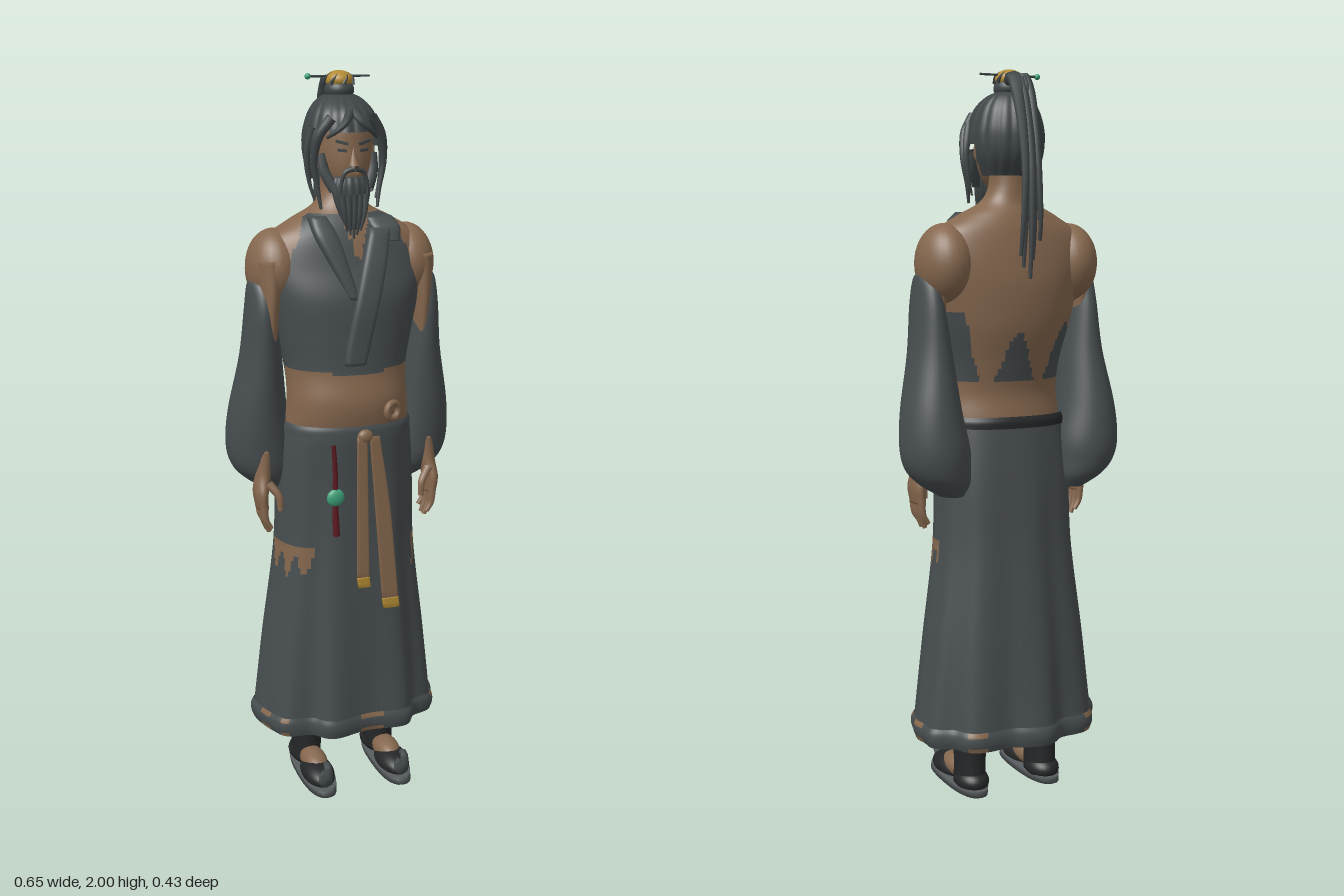
import * as THREE from 'three';

const mat = (name, color, side = THREE.FrontSide) => {
  const m = new THREE.MeshStandardMaterial({ color, side });
  m.name = name;
  return m;
};

export function createModel() {
  const root = new THREE.Group();
  const cloth = mat('grey cloth', 0x474d4f, THREE.DoubleSide);
  const hair = mat('dark hair', 0x3f4547, THREE.DoubleSide);
  const skin = mat('skin', 0x85674e);
  const sash = mat('brown sash', 0x83664c);
  const black = mat('black fabric', 0x242627);
  const gold = mat('gold', 0xb48c34);
  const jade = mat('jade green', 0x3fa27a);
  const red = mat('dark red cord', 0x5c1a20);
  const soleGrey = mat('sole grey', 0x565b5d);

  const add = (name, geo, material, pos = [0, 0, 0], scale = [1, 1, 1], rot = [0, 0, 0]) => {
    const m = new THREE.Mesh(geo, material);
    m.name = name;
    m.position.set(...pos);
    m.scale.set(...scale);
    m.rotation.set(...rot);
    root.add(m);
    return m;
  };
  const ball = (name, material, pos, scale) => add(name, new THREE.SphereGeometry(1, 28, 20), material, pos, scale);

  // Smooth body through cross-sections [y, centreX, halfWidth, frontZ, backZ], top row first.
  // pick(x, y, z, angle) chooses a material index per face; -1 leaves a hole.
  const loft = (name, rows, mats, o = {}) => {
    const { seg = 28, steps = 24, p = 1, ripple = () => 1, pick = () => 0, open = false } = o;
    const curve = (f) => new THREE.CatmullRomCurve3(rows.map(f), false, 'catmullrom', 0.5);
    const A = curve((r) => new THREE.Vector3(r[0], r[1], r[2]));
    const B = curve((r) => new THREE.Vector3(r[3], r[4], 0));
    const list = Array.isArray(mats) ? mats : [mats];
    const pos = [], faces = list.map(() => []);
    const pw = (v) => Math.sign(v) * Math.abs(v) ** p;
    for (let i = 0; i <= steps; i++) {
      const t = i / steps, a = A.getPoint(t), b = B.getPoint(t);
      for (let j = 0; j < seg; j++) {
        const q = (j / seg) * Math.PI * 2, k = ripple(q, t);
        pos.push(a.y + a.z * pw(Math.sin(q)) * k, a.x, (b.x + b.y) / 2 + ((b.x - b.y) / 2) * pw(Math.cos(q)) * k);
      }
    }
    for (let i = 0; i < steps; i++) for (let j = 0; j < seg; j++) {
      const n = (j + 1) % seg, a = i * seg + j, b = i * seg + n, c = a + seg, d = b + seg;
      const mid = (k) => (pos[a * 3 + k] + pos[d * 3 + k]) / 2;
      const m = pick(mid(0), mid(1), mid(2), ((j + 0.5) / seg) * Math.PI * 2);
      if (m >= 0) faces[m].push(a, c, d, a, d, b);
    }
    if (!open) for (const end of [0, 1]) {
      const r = rows[end ? rows.length - 1 : 0], base = end * steps * seg, centre = pos.length / 3;
      pos.push(r[1], r[0], (r[3] + r[4]) / 2);
      for (let j = 0; j < seg; j++) {
        const n = base + ((j + 1) % seg);
        faces[0].push(centre, ...(end ? [n, base + j] : [base + j, n]));
      }
    }
    const g = new THREE.BufferGeometry();
    g.setAttribute('position', new THREE.Float32BufferAttribute(pos, 3));
    g.setIndex(faces.flat());
    let start = 0;
    faces.forEach((f, m) => { g.addGroup(start, f.length, m); start += f.length; });
    g.computeVertexNormals();
    return add(name, g, list);
  };

  // Tapered tube through points
  const strand = (name, pts, r0, r1, material) => {
    const n = 20, path = new THREE.CatmullRomCurve3(pts.map((v) => new THREE.Vector3(...v)));
    const g = new THREE.TubeGeometry(path, n, r0, 8), P = g.attributes.position, v = new THREE.Vector3();
    for (let i = 0; i < P.count; i++) {
      const t = Math.floor(i / 9) / n, c = path.getPointAt(t);
      v.fromBufferAttribute(P, i).sub(c).multiplyScalar(1 + (r1 / r0 - 1) * t).add(c);
      P.setXYZ(i, v.x, v.y, v.z);
    }
    return add(name, g, material);
  };

  // Torso: bare back and belly, robe across the chest with ragged ends behind
  loft('torso', [[1.75, 0, .05, .01, -.098], [1.69, 0, .054, .012, -.1], [1.65, 0, .08, .025, -.105],
    [1.615, 0, .145, .05, -.12], [1.57, 0, .21, .07, -.135], [1.5, 0, .232, .092, -.148], [1.42, 0, .215, .12, -.155],
    [1.32, 0, .192, .125, -.147], [1.22, 0, .17, .128, -.122], [1.14, 0, .168, .142, -.106], [1.07, 0, .175, .133, -.113],
    [1.0, 0, .175, .11, -.12]], [skin, cloth], { seg: 120, steps: 100, p: .95, pick: (x, y, z) => {
    if (z > -.01) {
      const neckline = y > 1.5 && Math.abs(x - .015) < (y - 1.5) * .3;
      const shoulderEdge = Math.abs(x) > .18 + (1.5 - y) * .5;
      return y > 1.215 + Math.abs(x) * .1 && y < 1.635 && !neckline && !shoulderEdge ? 1 : 0;
    }
    const ragged = 1.235 + .075 * Math.sin(x * 42 + 1) + 1.5 * Math.max(0, Math.abs(x) - .13);
    return y > 1.17 && y < Math.min(ragged, 1.36) ? 1 : 0;
  } });
  add('bellyKnot', new THREE.TorusGeometry(.022, .009, 10, 24), skin, [.095, 1.11, .128], [1, 1, 1], [0, .45, 0]);

  // Lapel and collar folds
  loft('lapel', [[1.6, .075, .03, .085, .03], [1.5, .048, .034, .118, .07], [1.4, .022, .034, .137, .09],
    [1.3, 0, .033, .138, .09], [1.245, -.01, .03, .138, .09]], cloth, { p: .5 });
  loft('leftCollar', [[1.625, .085, .038, .05, -.01], [1.6, .095, .042, .075, .01], [1.565, .1, .032, .088, .04]], cloth, { p: .6 });
  loft('rightCollar', [[1.63, -.085, .025, .048, -.01], [1.58, -.07, .032, .082, .03], [1.5, -.04, .024, .108, .06],
    [1.42, -.01, .015, .126, .08]], cloth, { p: .7 });

  // Skirt with folds deepest at front and back, bare patches and a worn hem
  const folds = (q, t) => 1 + t ** 1.4 * (.07 * Math.abs(Math.cos(q)) * (Math.cos(q * 9 + 2.24) - .6) + .01 * Math.sin(q * 14));
  loft('skirt', [[1.07, 0, .172, .132, -.122], [1.04, 0, .182, .138, -.128], [.9, 0, .195, .132, -.143],
    [.7, 0, .203, .136, -.158], [.45, 0, .235, .15, -.182], [.3, 0, .252, .16, -.196], [.18, 0, .265, .168, -.207]],
  [cloth, sash], { seg: 120, steps: 90, p: .88, ripple: folds, open: true, pick: (x, y, z, q) => {
    const side = x < -.125 || x > .175;
    return side && z > -.025 && y < .735 && y > .672 + .03 * Math.sin(q * 18) + .6 * Math.max(0, .01 - z) ? 1 : 0;
  } });
  loft('hem', [[.22, 0, .263, .167, -.205], [.205, 0, .271, .172, -.211], [.185, 0, .271, .172, -.212], [.165, 0, .264, .167, -.207]],
    [cloth, sash], { seg: 160, steps: 10, p: .88, ripple: (q) => folds(q, 1), open: true,
      pick: (x, y, z, q) => ((y < .175 || y > .208) && Math.sin(q * 5 + 1) + Math.sin(q * 13) > .8 ? 1 : 0) });
  loft('waistband', [[1.076, 0, .176, .134, -.124], [1.064, 0, .182, .138, -.132], [1.045, 0, .183, .139, -.133]], [cloth, black],
    { seg: 64, steps: 8, p: .88, open: true, pick: (x, y, z) => (z < -.02 ? 1 : 0) });

  // Sash ends with gold tips
  ball('sashKnot', sash, [.01, 1.05, .148], [.022, .02, .014]);
  [[0, 0, .65, .018], [.035, .08, .58, .024]].forEach(([x0, x1, end, w]) => {
    loft('sashEnd', [[1.05, x0, .014, .158, .148], [.85, (x0 + x1) / 2, w * .9, .162, .154], [end, x1, w, .168, .16]], sash, { p: .4 });
    loft('sashTip', [[end, x1, w, .17, .159], [end - .03, x1 + .004, w, .17, .159]], gold, { p: .4, steps: 3 });
  });
  // Hanging ornament
  strand('ornamentCord', [[-.075, 1.03, .133], [-.07, .95, .132], [-.07, .85, .132], [-.068, .77, .136]], .006, .01, red);
  ball('ornament', jade, [-.07, .88, .135], [.025, .025, .012]);

  for (const s of [1, -1]) {
    const m = (rows) => rows.map(([y, x, ...r]) => [y, x * s, ...r]);
    const mp = (pts) => pts.map(([x, y, z]) => [x * s, y, z]);
    // Shoulder, arm and full sleeve
    ball('shoulder', skin, [s * .188, 1.488, -.038], [.076, .108, .1]);
    loft('upperArm', m([[1.52, .21, .045, .055, -.1], [1.4, .215, .03, .06, -.09], [1.25, .215, .02, .04, -.07]]), skin);
    loft('sleeve', m([[1.462, .232, .02, .0, -.05], [1.45, .231, .034, .03, -.075], [1.38, .232, .04, .054, -.1],
      [1.25, .23, .056, .052, -.12], [1.1, .236, .08, .046, -.152], [1.0, .23, .094, .04, -.165], [.94, .222, .088, .034, -.16],
      [.9, .205, .07, .015, -.145], [.865, .185, .035, -.02, -.11]]), cloth, { seg: 40, steps: 40 });
    // Hand
    loft('palm', m([[1.0, .235, .025, .04, -.02], [.93, .242, .022, .045, -.015], [.88, .25, .02, .062, -.024],
      [.835, .247, .016, .06, -.024]]), skin);
    [-.014, .008, .03, .05].forEach((z, i) => strand('finger',
      mp([[.248, .85, z], [.244, .805, z], [.23, .765 + (i % 3 ? 0 : .015), z]]), .0115, .007, skin));
    strand('thumb', mp([[.235, .91, .045], [.21, .875, .062], [.206, .835, .065]]), .013, .008, skin);
    // Leg, foot and curled shoe
    loft('leg', m([[.6, .1, .055, .04, -.08], [.2, .11, .047, .032, -.08], [.09, .112, .043, .03, -.082],
      [.02, .113, .042, .035, -.088]]), black);
    ball('instep', skin, [s * .113, .044, .055], [.037, .034, .07]);
    ball('shoeToe', black, [s * .115, .03, .095], [.046, .034, .085]);
    ball('shoeHeel', black, [s * .113, .032, -.04], [.047, .036, .06]);
    strand('shoeCurl', mp([[.115, .035, .13], [.115, .04, .175], [.115, .068, .2], [.115, .1, .197], [.115, .097, .18]]), .024, .009, cloth);
    loft('sole', m([[.02, .114, .05, .19, -.107], [.0, .114, .048, .2, -.107]]), soleGrey, { p: .8, steps: 2 });
    // Face details
    add('eye', new THREE.BoxGeometry(.024, .007, .006), hair, [s * .03, 1.803, .072], [1, 1, 1], [0, s * .3, s * .1]);
    add('eyebrow', new THREE.BoxGeometry(.034, .007, .008), hair, [s * .031, 1.823, .073], [1, 1, 1], [0, s * .3, s * .25]);
    ball('ear', skin, [s * .08, 1.785, -.025], [.012, .028, .018]);
    strand('moustache', mp([[.003, 1.757, .087], [.025, 1.748, .083], [.036, 1.71, .08], [.034, 1.66, .082]]), .007, .002, hair);
    strand('sideBeard', mp([[.07, 1.79, .02], [.066, 1.745, .035], [.045, 1.7, .055]]), .014, .016, hair);
    // Loose locks framing the face
    strand('sideLock', mp([[.055, 1.885, .06], [.085, 1.84, .05], [.096, 1.77, .035], [.085, 1.7, .035], [.078, 1.65, .04]]), .015, .004, hair);
    strand('rearLock', mp([[.09, 1.86, .01], [.104, 1.79, .0], [.098, 1.72, 0], [.085, 1.67, .005]]), .013, .003, hair);
    strand('fringe', mp([[.0, 1.905, .055], [.025, 1.872, .08], [.05, 1.85, .076], [.068, 1.835, .06]]), .014, .004, hair);
  }

  // Head, nose, mouth and beard
  loft('head', [[1.92, 0, .04, .03, -.07], [1.87, 0, .072, .066, -.1], [1.81, 0, .079, .073, -.11], [1.76, 0, .071, .075, -.1],
    [1.72, 0, .052, .068, -.07], [1.69, 0, .028, .05, -.03]], skin);
  add('nose', new THREE.ConeGeometry(.015, .05, 10), skin, [0, 1.787, .078], [1, 1, .9], [-.15, 0, 0]);
  add('mouth', new THREE.BoxGeometry(.026, .006, .006), sash, [0, 1.744, .079]);
  loft('beard', [[1.735, 0, .044, .078, .02], [1.71, 0, .052, .086, .02], [1.67, 0, .046, .088, .03],
    [1.63, 0, .032, .086, .045], [1.6, 0, .016, .084, .06]], hair, { seg: 64, ripple: (q) => .92 + .1 * Math.abs(Math.sin(q * 8)) });
  for (let i = -2; i <= 2; i++) {
    strand('beardLock', [[i * .016, 1.69, .08], [i * .014, 1.64, .084], [i * .009, 1.575 + .01 * Math.abs(i), .078]], .01, .003, hair);
  }

  // Swept-back hair with combed ridges, open at the face
  loft('hairCap', [[1.945, 0, .02, -.025, -.065], [1.93, 0, .056, .015, -.1], [1.9, 0, .083, .06, -.125], [1.86, 0, .098, .08, -.139],
    [1.82, 0, .104, .087, -.143], [1.77, 0, .099, .078, -.135], [1.72, 0, .082, .055, -.105]], hair,
  { seg: 120, steps: 40, open: true, ripple: (q) => .97 + .04 * Math.abs(Math.sin(q * 9)),
    pick: (x, y, z) => ((y < 1.85 && z > .03) || (y < 1.8 && z > -.045) ? -1 : 0) });

  // Topknot, crown and pin
  ball('topknot', hair, [0, 1.95, -.046], [.04, .03, .042]);
  ball('crown', gold, [0, 1.975, -.048], [.037, .025, .04]);
  for (let i = 0; i < 7; i++) {
    const a = (i / 7) * Math.PI * 2, at = (r, b, y) => [r * Math.sin(a + b), y, -.048 + r * Math.cos(a + b)];
    strand('crownLock', [at(.039, 0, 1.965), at(.036, .3, 1.982), at(.024, .55, 1.994)], .006, .001, hair);
  }
  add('hairpin', new THREE.CylinderGeometry(.003, .003, .17, 8), hair, [0, 1.985, -.047], [1, 1, 1], [0, 0, Math.PI / 2]);
  ball('pinBead', jade, [-.086, 1.985, -.047], [.008, .008, .008]);

  // Ponytail
  for (let i = -2; i <= 2; i++) {
    const x = i * .007, back = i % 2 ? .012 : 0, low = 1.45 + .04 * Math.abs(i) - .01 * i;
    strand('ponytail', [[x * .5, 1.96, -.065], [x, 1.978, -.095], [x * 1.2, 1.945, -.126], [x * 1.2, 1.86, -.158 + back],
      [x * 1.3, 1.74, -.182 + back], [x * 1.8, 1.6, -.185 + back], [x * 2, low, -.175 + back]], .019, .005, hair);
  }
  return root;
}
